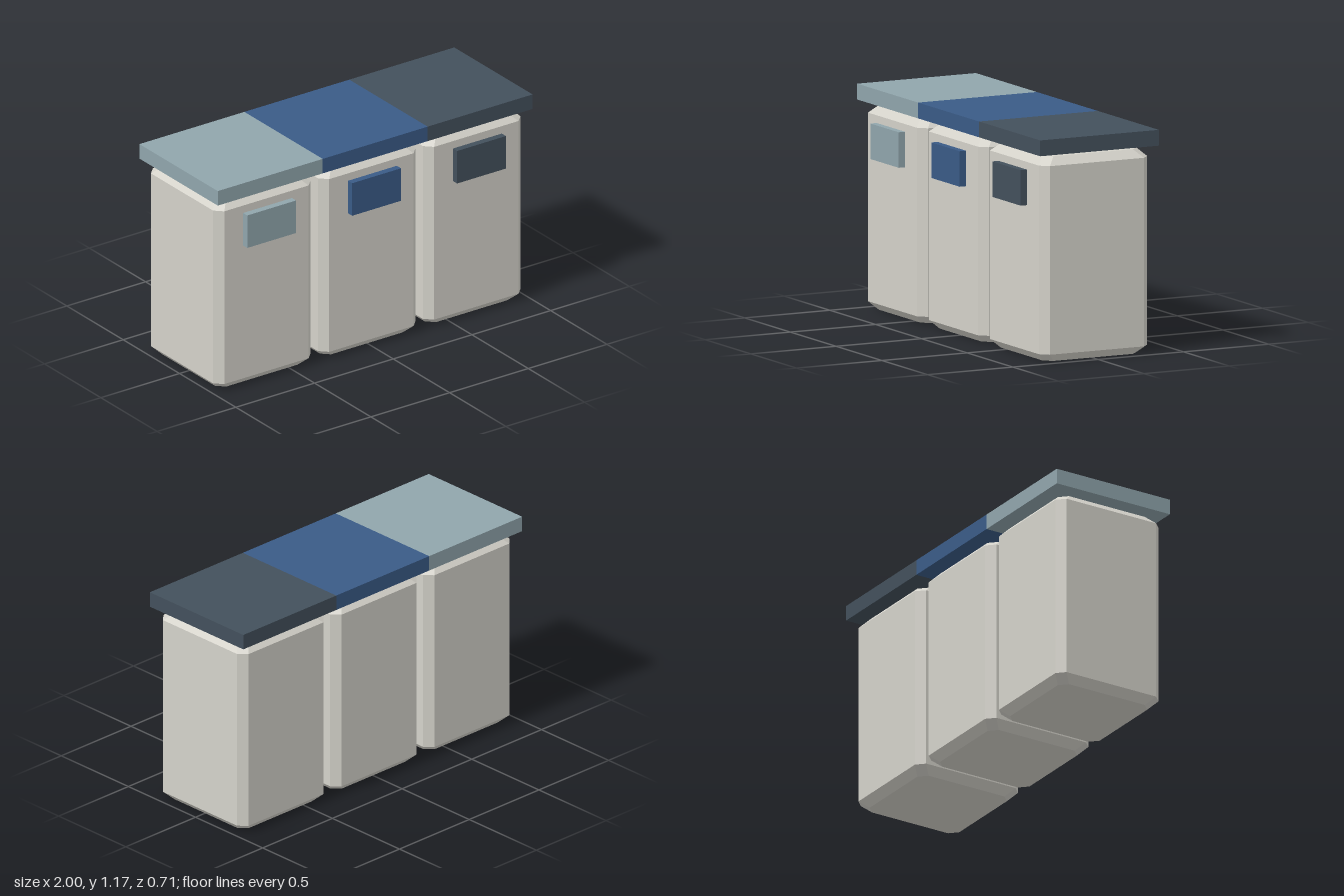
import * as THREE from 'three';
import { ConvexGeometry } from 'three/addons/geometries/ConvexGeometry.js';

const CHAMFER = 0.042;

// Octagonal outline: a rectangle with cut corners, at height y
function octagon(halfX, halfZ, y) {
  const points = [];
  for (const sx of [-1, 1]) {
    for (const sz of [-1, 1]) {
      points.push(new THREE.Vector3(sx * halfX, y, sz * (halfZ - CHAMFER)));
      points.push(new THREE.Vector3(sx * (halfX - CHAMFER), y, sz * halfZ));
    }
  }
  return points;
}

// Box with every edge chamfered, standing on y = 0
function chamferedBox(width, height, depth) {
  const x = width / 2, z = depth / 2, c = CHAMFER;
  return new ConvexGeometry([
    ...octagon(x - c, z - c, 0),
    ...octagon(x, z, c),
    ...octagon(x, z, height - c),
    ...octagon(x - c, z - c, height),
  ]);
}

export function createModel() {
  const model = new THREE.Group();
  model.name = 'recyclingBins';

  const bodyMaterial = new THREE.MeshStandardMaterial({ color: 0xd4d2ca, flatShading: true });
  const bodyGeometry = chamferedBox(0.62, 1.072, 0.635);
  const lidGeometry = new THREE.BoxGeometry(2 / 3, 0.083, 0.696);
  const panelGeometry = new THREE.BoxGeometry(0.31, 0.186, 0.037);

  const bins = [
    { name: 'rightBin', color: 0x90a5ac },
    { name: 'middleBin', color: 0x3a5b87 },
    { name: 'leftBin', color: 0x43505c },
  ];

  bins.forEach(({ name, color }, i) => {
    const accent = new THREE.MeshStandardMaterial({ color });
    const bin = new THREE.Group();
    bin.name = name;
    bin.position.x = (i - 1) * 2 / 3;

    const add = (partName, geometry, material, x, y, z) => {
      const mesh = new THREE.Mesh(geometry, material);
      mesh.name = partName;
      mesh.position.set(x, y, z);
      bin.add(mesh);
    };

    // Container, floating lid and front panel
    add('body', bodyGeometry, bodyMaterial, -0.003, 0, -0.007);
    add('lid', lidGeometry, accent, 0, 1.133, -0.008);
    add('frontPanel', panelGeometry, accent, -0.003, 0.9, 0.338);
    model.add(bin);
  });

  return model;
}
